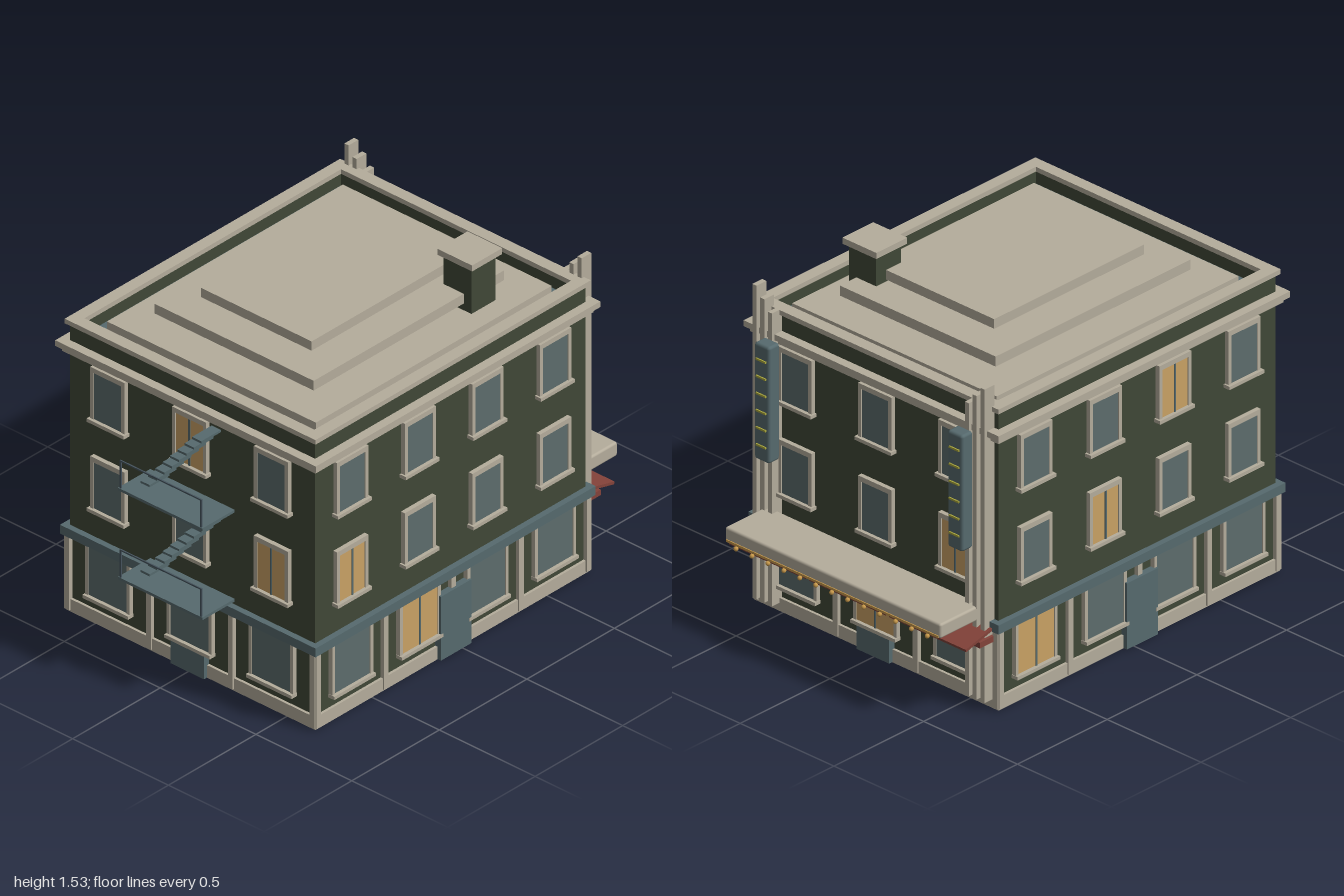
import * as THREE from 'three';
import { RoundedBoxGeometry } from 'three/addons/geometries/RoundedBoxGeometry.js';

const mat = (name, color) => {
  const m = new THREE.MeshStandardMaterial({ color });
  m.name = name;
  return m;
};

const M = {
  wall: mat('dark green wall', 0x404837),
  stone: mat('pale stone', 0xb5ad9c),
  trim: mat('blue grey metal', 0x566a6e),
  glass: mat('window glass', 0x5d6d6d),
  lit: mat('lit window', 0xcaa265),
  iron: mat('dark iron', 0x46545e),
  red: mat('red awning', 0x84433a),
  gold: mat('gold lamp', 0xc99a4c),
  neon: mat('sign bar yellow', 0xa9a63c),
};

const W = 1.28, D = 1.545, CZ = 0.0425; // body footprint and its z centre

function add(parent, name, geometry, material) {
  const m = new THREE.Mesh(geometry, material);
  m.name = name;
  parent.add(m);
  return m;
}

// box given by its limits on each axis
function box(parent, name, material, x0, x1, y0, y1, z0, z1) {
  const m = add(parent, name, new THREE.BoxGeometry(x1 - x0, y1 - y0, z1 - z0), material);
  m.position.set((x0 + x1) / 2, (y0 + y1) / 2, (z0 + z1) / 2);
  return m;
}

// box that follows the footprint, grown outwards by `out`
function slab(parent, name, material, out, y0, y1) {
  return box(parent, name, material, -W / 2 - out, W / 2 + out, y0, y1, CZ - D / 2 - out, CZ + D / 2 + out);
}

function rectPath(path, x0, x1, y0, y1) {
  path.moveTo(x0, y0);
  path.lineTo(x1, y0);
  path.lineTo(x1, y1);
  path.lineTo(x0, y1);
  path.closePath();
  return path;
}

// rectangular frame of given depth, lying in the xy plane
function frameGeometry(outer, inner, depth) {
  const shape = rectPath(new THREE.Shape(), ...outer);
  shape.holes.push(rectPath(new THREE.Path(), ...inner));
  return new THREE.ExtrudeGeometry(shape, { depth, bevelEnabled: false });
}

// hollow ring around the roof edge
function roofRing(parent, name, material, out, inset, y0, y1) {
  const a = W / 2 + out, b = D / 2 + out, c = W / 2 - inset, d = D / 2 - inset;
  const ring = add(parent, name, frameGeometry([-a, a, -b, b], [-c, c, -d, d], y1 - y0), material);
  ring.rotation.x = -Math.PI / 2;
  ring.position.set(0, y0, CZ);
}

// window with frame, sill and pane; lit ones have a centre mullion
function windowUnit(parent, x, y0, y1, half, rim, sillHalf, lit) {
  const g = new THREE.Group();
  g.name = 'window';
  g.position.x = x;
  parent.add(g);
  const top = y1 - 0.022, base = y0 + 0.013;
  add(g, 'windowFrame', frameGeometry([-half, half, y0, y1], [rim - half, half - rim, base, top], 0.02), M.stone);
  box(g, 'windowPane', lit ? M.lit : M.glass, rim - half, half - rim, base, top, 0, 0.016);
  box(g, 'windowSill', M.stone, -sillHalf, sillHalf, y0 - 0.002, base, 0, 0.032);
  if (lit) box(g, 'mullion', M.trim, -0.004, 0.004, base, top, 0.014, 0.02);
}

// one wall of the building; lit lists "row,bay" pairs
function facade(root, name, width, bays, position, turn, lit, doorTop) {
  const g = new THREE.Group();
  g.name = name;
  g.position.set(...position);
  g.rotation.y = turn;
  root.add(g);
  const step = width / bays;
  for (let i = 0; i < bays; i++) {
    const x = (i + 0.5) * step - width / 2;
    const on = (row) => lit.includes(`${row},${i}`);
    windowUnit(g, x, 0.11, 0.368, 0.117, 0.016, 0.119, on(0));
    windowUnit(g, x, 0.514, 0.76, 0.089, 0.017, 0.097, on(1));
    windowUnit(g, x, 0.92, 1.166, 0.089, 0.017, 0.097, on(2));
  }
  for (let i = 0; i <= bays; i++) {
    const x = i * step - width / 2;
    box(g, 'pilaster', M.stone, x - 0.013, x + 0.013, 0.01, 0.35, -0.013, 0.018);
  }
  box(g, 'door', M.trim, -0.087, 0.087, 0.004, doorTop, 0, 0.03);
}

// landing, front railing and a flight of treads
function fireEscape(root, y) {
  const g = new THREE.Group();
  g.name = 'fireEscape';
  g.position.y = y;
  root.add(g);
  box(g, 'landing', M.trim, -0.22, 0.22, 0, 0.012, 0.815, 1);
  for (const x of [-0.21, 0.21]) box(g, 'railPost', M.iron, x - 0.003, x + 0.003, 0.01, 0.138, 0.992, 0.998);
  box(g, 'topRail', M.iron, -0.213, 0.213, 0.133, 0.139, 0.992, 0.998);
  for (let i = 0; i < 8; i++) {
    const x = -0.118 + i * 0.0385, ty = 0.052 + i * 0.0447;
    box(g, 'tread', M.trim, x - 0.024, x + 0.024, ty - 0.005, ty + 0.005, 0.845, 0.957);
  }
}

export function createModel() {
  const root = new THREE.Group();
  root.name = 'cornerBuilding';

  // body and horizontal bands
  slab(root, 'walls', M.wall, 0, 0, 1.24);
  slab(root, 'plinth', M.stone, 0.012, 0.003, 0.06);
  slab(root, 'streetBand', M.trim, 0.027, 0.347, 0.387);
  slab(root, 'lowerCornice', M.stone, 0.022, 1.178, 1.2);
  slab(root, 'upperCornice', M.stone, 0.04, 1.2, 1.226);

  // roof
  roofRing(root, 'parapet', M.wall, 0, 0.04, 1.226, 1.302);
  roofRing(root, 'parapetCap', M.stone, 0.014, 0.04, 1.302, 1.323);
  slab(root, 'roofDeck', M.trim, -0.035, 1.235, 1.25);
  box(root, 'roofTier', M.stone, -0.545, 0.545, 1.25, 1.3, -0.64, 0.707);
  box(root, 'roofTier', M.stone, -0.415, 0.415, 1.331, 1.375, -0.51, 0.577);
  box(root, 'roofTier', M.stone, -0.288, 0.288, 1.4, 1.442, -0.385, 0.45);
  box(root, 'chimney', M.wall, 0.31, 0.455, 1.28, 1.508, -0.418, -0.28);
  box(root, 'chimneyCap', M.stone, 0.292, 0.473, 1.508, 1.535, -0.436, -0.264);

  // four walls
  const front = CZ + D / 2, back = CZ - D / 2, q = Math.PI / 2;
  facade(root, 'frontWall', W, 3, [0, 0, front], 0, ['2,1', '1,2'], 0.112);
  facade(root, 'leftWall', D, 4, [W / 2, 0, CZ], q, ['1,0', '0,1'], 0.294);
  facade(root, 'backWall', W, 3, [0, 0, back], 2 * q, ['1,2', '0,1'], 0.112);
  facade(root, 'rightWall', D, 4, [-W / 2, 0, CZ], -q, ['0,0', '1,1', '2,2'], 0.294);

  fireEscape(root, 0.4);
  fireEscape(root, 0.805);

  // stepped piers and upright signs at the back corners
  for (const s of [-1, 1]) {
    [[0.608, 1.414], [0.566, 1.37], [0.525, 1.323]].forEach(([x, top]) =>
      box(root, 'backPier', M.stone, s * x - 0.011, s * x + 0.011, 0.04, top, -0.785, -0.73));
    const sign = add(root, 'uprightSign', new RoundedBoxGeometry(0.08, 0.51, 0.062, 2, 0.012), M.trim);
    sign.position.set(s * 0.515, 0.952, -0.812);
    for (let i = 0; i < 6; i++) {
      const y = 0.765 + i * 0.075;
      box(root, 'signBar', M.neon, s * 0.515 - 0.026, s * 0.515 + 0.026, y - 0.004, y + 0.004, -0.849, -0.84);
    }
  }

  // back canopy with a row of lamps
  const canopy = add(root, 'canopy', new RoundedBoxGeometry(1.15, 0.064, 0.235, 2, 0.01), M.stone);
  canopy.position.set(0, 0.413, -0.8675);
  box(root, 'canopyEdge', M.gold, -0.565, 0.565, 0.384, 0.394, -0.989, -0.98);
  for (let i = 0; i < 13; i++) {
    const lamp = add(root, 'canopyLamp', new THREE.SphereGeometry(0.01, 8, 6), M.gold);
    lamp.position.set((i - 6) * 0.085, 0.374, -0.99);
  }

  // sloping awnings over the back shop windows
  for (const x of [-0.427, 0, 0.427]) {
    const awning = box(root, 'awning', M.red, x - 0.205, x + 0.205, 0.335, 0.347, -0.905, -0.73);
    awning.rotation.x = -0.25;
    box(root, 'awningBar', M.red, x - 0.205, x + 0.205, 0.3, 0.325, -0.825, -0.74);
  }
  return root;
}
